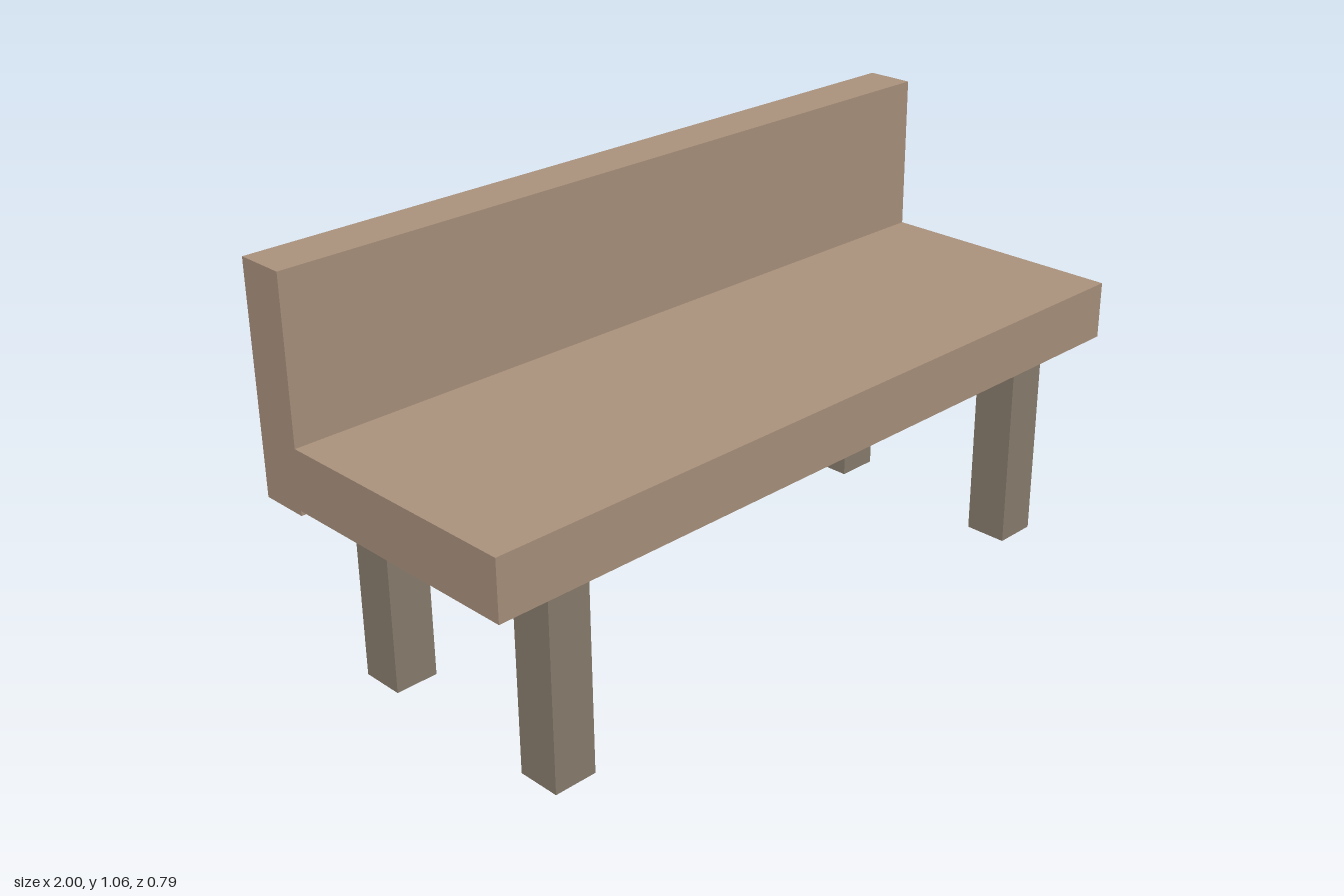
import * as THREE from 'three';

export function createModel() {
  const bench = new THREE.Group();
  bench.name = 'bench';
  const wood = new THREE.MeshStandardMaterial({ color: 0xac937e });
  const darkWood = new THREE.MeshStandardMaterial({ color: 0x8b7f70 });

  // Box given by its extents along each axis
  function addBox(name, material, [x0, x1], [y0, y1], [z0, z1]) {
    const mesh = new THREE.Mesh(new THREE.BoxGeometry(x1 - x0, y1 - y0, z1 - z0), material);
    mesh.position.set((x0 + x1) / 2, (y0 + y1) / 2, (z0 + z1) / 2);
    mesh.name = name;
    bench.add(mesh);
  }

  // Seat slab butts against the backrest, which hangs slightly lower
  addBox('seat', wood, [-1, 1], [0.515, 0.663], [-0.268, 0.394]);
  addBox('backrest', wood, [-1, 1], [0.503, 1.063], [-0.394, -0.268]);

  // Four square legs, mirrored left and right
  for (const [side, x] of [['Left', 0.775], ['Right', -0.775]]) {
    const width = [x - 0.056, x + 0.056];
    addBox('front' + side + 'Leg', darkWood, width, [0, 0.52], [0.227, 0.339]);
    addBox('back' + side + 'Leg', darkWood, width, [0, 0.52], [-0.325, -0.212]);
  }
  return bench;
}
